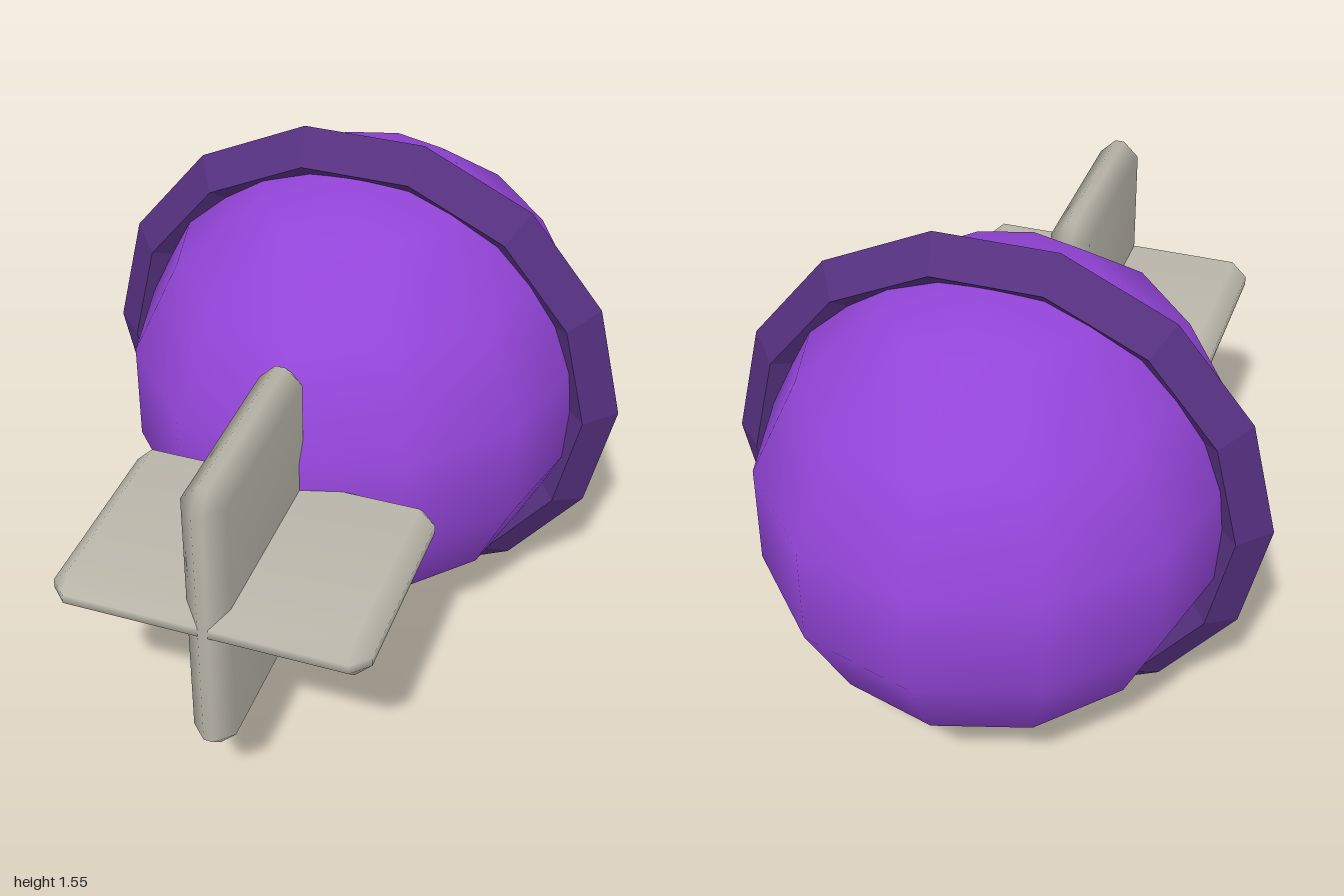
import * as THREE from 'three';
import { mergeVertices } from 'three/addons/utils/BufferGeometryUtils.js';
import { ConvexGeometry } from 'three/addons/geometries/ConvexGeometry.js';

const CENTRE_Y = 0.777;
const BODY_Z = -0.267;

// Box with chamfered edges and softly shaded bevels
function chamferedBox(w, h, d, c) {
  const points = [];
  for (const sx of [-1, 1]) for (const sy of [-1, 1]) for (const sz of [-1, 1]) {
    for (let axis = 0; axis < 3; axis++) {
      const inset = [c, c, c];
      inset[axis] = 0;
      points.push(new THREE.Vector3(
        sx * (w / 2 - inset[0]), sy * (h / 2 - inset[1]), sz * (d / 2 - inset[2])));
    }
  }
  const hull = new ConvexGeometry(points);
  hull.deleteAttribute('normal');
  const geometry = mergeVertices(hull);
  geometry.computeVertexNormals();
  return geometry;
}

export function createModel() {
  const model = new THREE.Group();
  model.name = 'finnedOrb';

  const purple = new THREE.MeshStandardMaterial({ color: 0x9345d8 });
  purple.name = 'purple';
  const darkPurple = new THREE.MeshStandardMaterial({ color: 0x55307f, flatShading: true });
  darkPurple.name = 'darkPurple';
  const stone = new THREE.MeshStandardMaterial({ color: 0xbab6aa });
  stone.name = 'stoneGrey';

  const add = (name, geometry, material, z) => {
    const mesh = new THREE.Mesh(geometry, material);
    mesh.name = name;
    mesh.position.set(0, CENTRE_Y, z);
    model.add(mesh);
    return mesh;
  };

  // Low-poly body, slightly stretched front to back
  const body = add('body', new THREE.SphereGeometry(0.685, 12, 7), purple, BODY_Z);
  body.scale.z = 0.752 / 0.685;

  // Diamond-section ring around the middle
  add('ring', new THREE.TorusGeometry(0.709, 0.087, 4, 14), darkPurple, BODY_Z);

  // Two crossed plates making four fins
  add('verticalFin', chamferedBox(0.122, 0.88, 0.632, 0.047), stone, 0.684);
  add('horizontalFin', chamferedBox(0.88, 0.122, 0.632, 0.047), stone, 0.684);

  return model;
}
